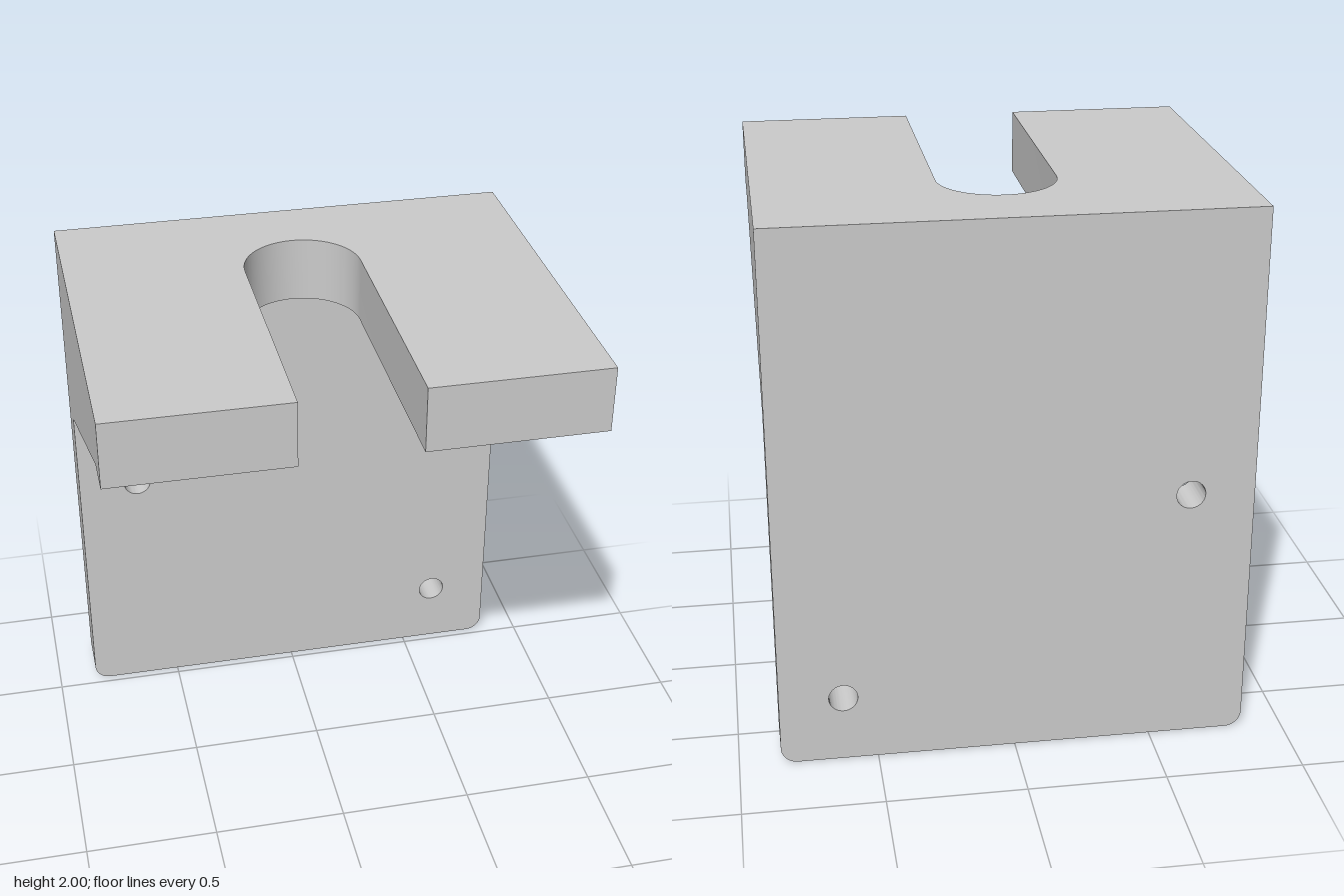
import * as THREE from 'three';
import { toCreasedNormals } from 'three/addons/utils/BufferGeometryUtils.js';

const W = 0.85;        // half width
const BACK = -0.71;    // rear face
const FRONT = 0.71;    // shelf front edge
const WALL = -0.53;    // front face of the back plate
const SHELF = 1.76;    // underside of the shelf
const TOP = 2;

export function createModel() {
  const group = new THREE.Group();
  group.name = 'slottedBracket';
  const material = new THREE.MeshStandardMaterial({ color: 0xcccccc });

  const extrude = (shape, depth) => toCreasedNormals(
    new THREE.ExtrudeGeometry(shape, { depth, bevelEnabled: false, curveSegments: 32 }), 0.6);
  const add = (name, geometry) => {
    const mesh = new THREE.Mesh(geometry, material);
    mesh.name = name;
    group.add(mesh);
  };

  // Back plate: rounded lower corners and two screw holes
  const r = 0.06;
  const plate = new THREE.Shape();
  plate.moveTo(W, TOP);
  plate.lineTo(-W, TOP);
  plate.lineTo(-W, r);
  plate.absarc(-W + r, r, r, Math.PI, Math.PI * 1.5, false);
  plate.lineTo(W - r, 0);
  plate.absarc(W - r, r, r, Math.PI * 1.5, Math.PI * 2, false);
  plate.closePath();
  for (const [x, y] of [[-0.62, 0.965], [0.62, 0.25]]) {
    plate.holes.push(new THREE.Path().absarc(x, y, 0.052, 0, Math.PI * 2, true));
  }
  add('backPlate', extrude(plate, WALL - BACK).translate(0, 0, BACK));

  // Shelf: drawn in x and z, with a round-ended slot open to the front
  const s = 0.212;
  const slotZ = -0.445 + s;
  const shelf = new THREE.Shape();
  shelf.moveTo(-W, WALL);
  shelf.lineTo(W, WALL);
  shelf.lineTo(W, FRONT);
  shelf.lineTo(s, FRONT);
  shelf.lineTo(s, slotZ);
  shelf.absarc(0, slotZ, s, 0, -Math.PI, true);
  shelf.lineTo(-s, FRONT);
  shelf.lineTo(-W, FRONT);
  shelf.closePath();
  add('slottedShelf', extrude(shelf, TOP - SHELF).rotateX(Math.PI / 2).translate(0, TOP, 0));

  // Triangular side gussets: drawn in z and y
  const thick = 0.092;
  const gusset = new THREE.Shape([
    new THREE.Vector2(WALL, 1.29),
    new THREE.Vector2(0.56, SHELF),
    new THREE.Vector2(WALL, SHELF),
  ]);
  for (const [name, x] of [['leftGusset', W], ['rightGusset', -W + thick]]) {
    add(name, extrude(gusset, thick).rotateY(-Math.PI / 2).translate(x, 0, 0));
  }

  return group;
}
